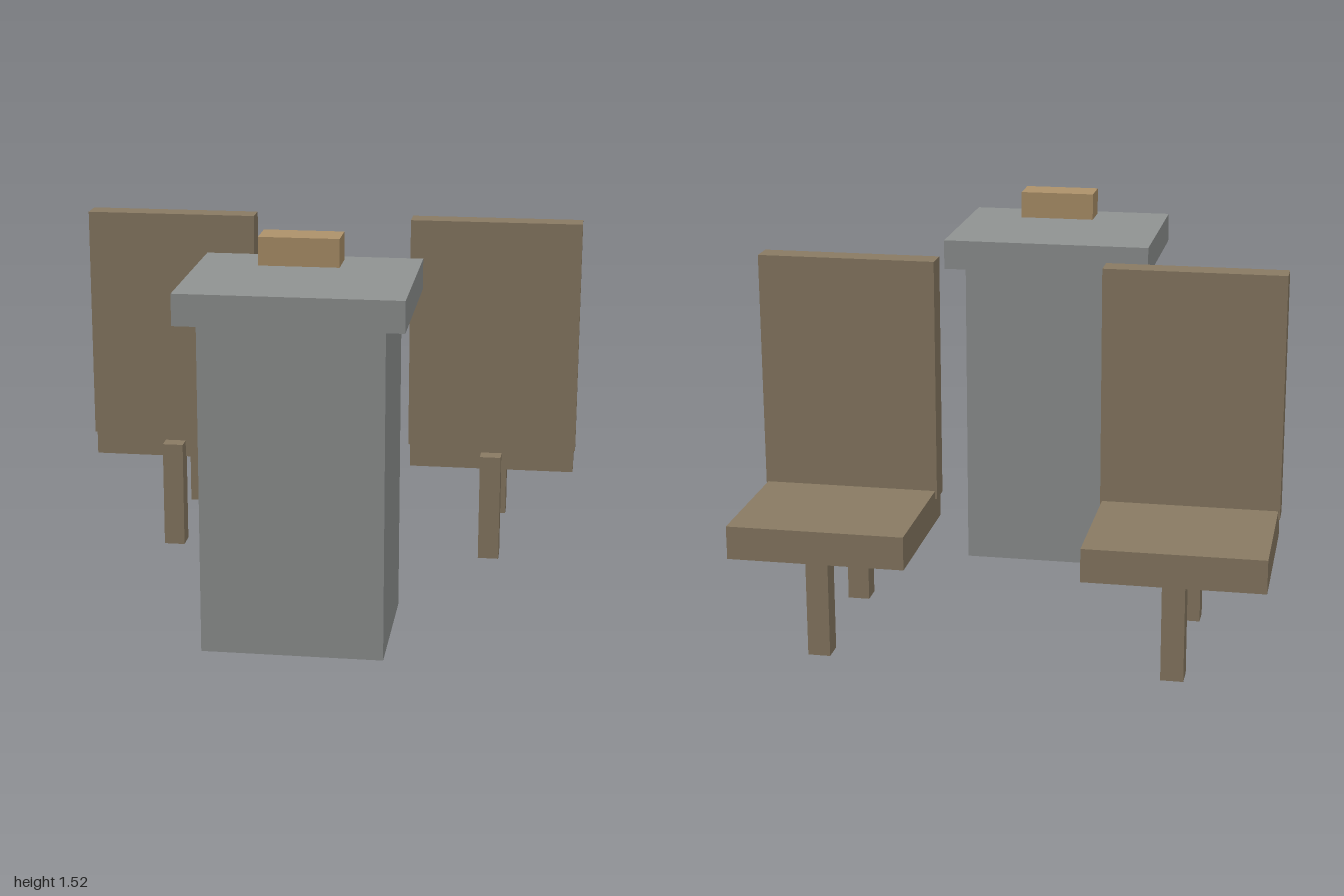
import * as THREE from 'three';

const material = (name, color) => {
  const m = new THREE.MeshStandardMaterial({ color });
  m.name = name;
  return m;
};

// Box given by its [min, max] extents along each axis
function box(name, mat, [x0, x1], [y0, y1], [z0, z1]) {
  const mesh = new THREE.Mesh(new THREE.BoxGeometry(x1 - x0, y1 - y0, z1 - z0), mat);
  mesh.position.set((x0 + x1) / 2, (y0 + y1) / 2, (z0 + z1) / 2);
  mesh.name = name;
  return mesh;
}

// Chair with a tall front panel, a seat behind it and two central legs
function chair(name, x, wood) {
  const g = new THREE.Group();
  g.name = name;
  g.add(
    box('backrest', wood, [-0.341, 0.341], [0.48, 1.417], [-0.381, -0.285]),
    box('seat', wood, [-0.334, 0.334], [0.386, 0.513], [-0.906, -0.292]),
    box('frontLeg', wood, [-0.042, 0.042], [0.018, 0.455], [-0.311, -0.228]),
    box('rearLeg', wood, [-0.042, 0.042], [0.018, 0.455], [-0.885, -0.802]),
  );
  g.position.x = x;
  return g;
}

export function createModel() {
  const grey = material('stone grey', 0x909392);
  const brown = material('chair brown', 0x897a63);
  const tan = material('block tan', 0xae926a);

  const model = new THREE.Group();
  model.name = 'pedestalAndChairs';

  // Pedestal with slab top and a small block hovering above it
  model.add(
    box('pedestal', grey, [-0.34, 0.337], [0, 1.253], [0.278, 0.842]),
    box('pedestalTop', grey, [-0.415, 0.411], [1.253, 1.37], [0.214, 0.906]),
    box('block', tan, [-0.15, 0.146], [1.418, 1.523], [0.492, 0.628]),
  );

  // Pair of chairs behind the pedestal
  model.add(chair('rightChair', -0.66, brown), chair('leftChair', 0.658, brown));
  return model;
}
